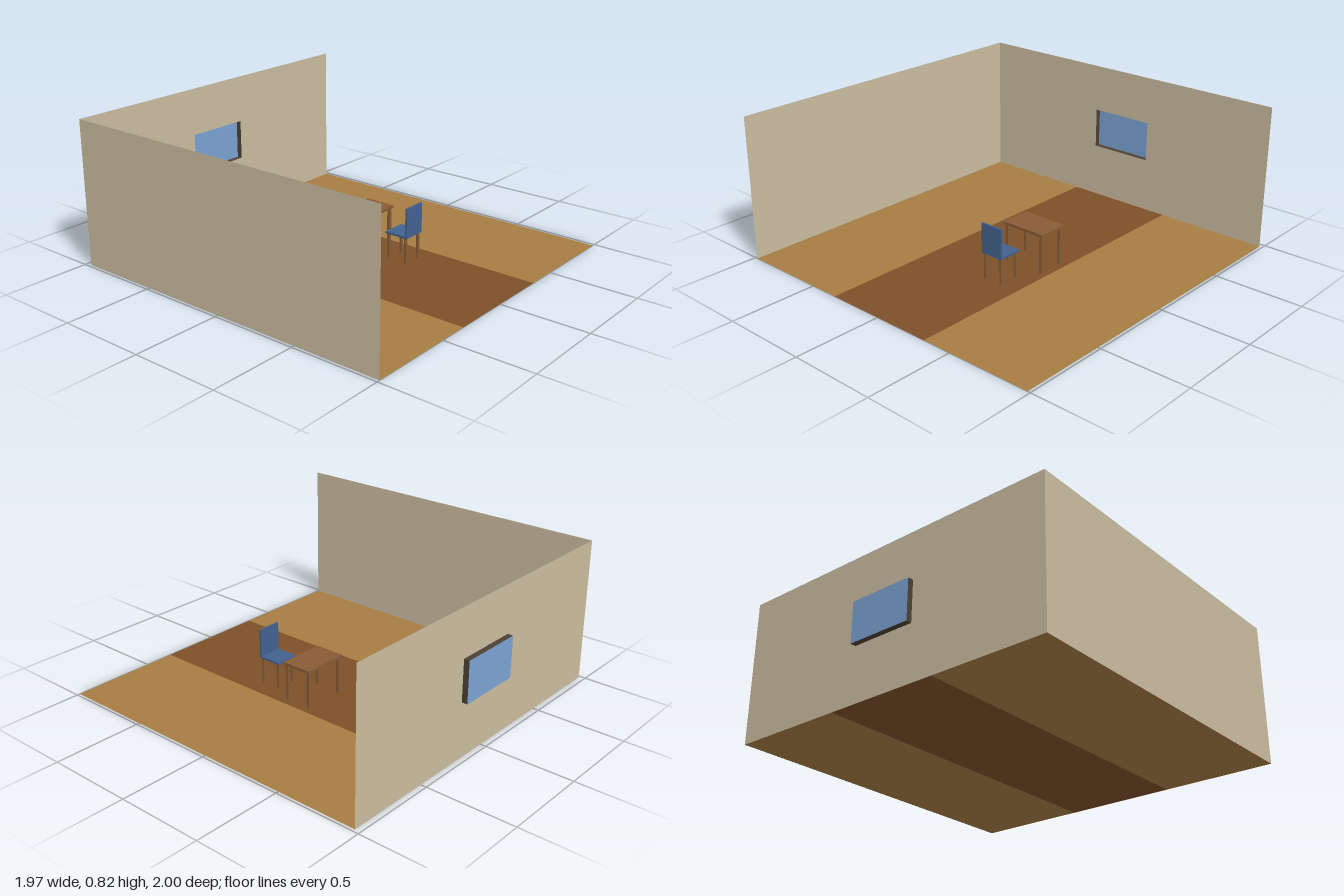
import * as THREE from 'three';

const mat = (color) => new THREE.MeshStandardMaterial({ color, side: THREE.DoubleSide });

const HALF = 0.984, HEIGHT = 0.82, FRONT = 1, BACK = -0.968;
const DEPTH = FRONT - BACK, MID_Z = (FRONT + BACK) / 2;
const WIN = { x: 0.188, y0: 0.314, y1: 0.546, z: -1 };

function add(parent, name, geometry, material, x, y, z) {
  const mesh = new THREE.Mesh(geometry, material);
  mesh.name = name;
  mesh.position.set(x, y, z);
  parent.add(mesh);
  return mesh;
}

// Box given by its minimum and maximum corners
function box(parent, name, material, [x0, y0, z0], [x1, y1, z1]) {
  const geometry = new THREE.BoxGeometry(x1 - x0, y1 - y0, z1 - z0);
  return add(parent, name, geometry, material, (x0 + x1) / 2, (y0 + y1) / 2, (z0 + z1) / 2);
}

// Four square legs placed symmetrically around a centre
function legs(parent, name, material, cx, cz, dx, dz, size, height) {
  const h = size / 2;
  for (const sx of [-1, 1]) for (const sz of [-1, 1]) {
    const x = cx + sx * dx, z = cz + sz * dz;
    box(parent, name, material, [x - h, 0, z - h], [x + h, height, z + h]);
  }
}

function createRoom() {
  const room = new THREE.Group();
  room.name = 'room';
  const floorMat = mat(0xa67c42), runnerMat = mat(0x7d5028), wallMat = mat(0xcabc9f);

  // Floor in three equal strips, the middle one darker
  const strip = (2 * HALF) / 3;
  for (const i of [-1, 0, 1]) {
    const floor = add(room, i ? 'floorStrip' : 'floorRunner', new THREE.PlaneGeometry(strip, DEPTH),
      i ? floorMat : runnerMat, i * strip, 0, MID_Z);
    floor.rotation.x = -Math.PI / 2;
  }

  // Side wall
  const side = add(room, 'sideWall', new THREE.PlaneGeometry(DEPTH, HEIGHT), wallMat, -HALF, HEIGHT / 2, MID_Z);
  side.rotation.y = Math.PI / 2;

  // Back wall with the window opening
  const rect = (path, x, y0, y1) => path.moveTo(-x, y0).lineTo(x, y0).lineTo(x, y1).lineTo(-x, y1).closePath();
  const wall = rect(new THREE.Shape(), HALF, 0, HEIGHT);
  wall.holes.push(rect(new THREE.Path(), WIN.x, WIN.y0, WIN.y1));
  add(room, 'backWall', new THREE.ShapeGeometry(wall), wallMat, 0, 0, BACK);
  return room;
}

function createWindow() {
  const group = new THREE.Group();
  group.name = 'window';
  const frameMat = mat(0x4c4033);
  const w = WIN.x * 2, h = WIN.y1 - WIN.y0, d = BACK - WIN.z;
  const cy = (WIN.y0 + WIN.y1) / 2, cz = (BACK + WIN.z) / 2;

  // Thin reveal around the opening
  for (const s of [-1, 1]) {
    add(group, 'windowJamb', new THREE.PlaneGeometry(d, h), frameMat, s * WIN.x, cy, cz).rotation.y = s * Math.PI / 2;
    add(group, s < 0 ? 'windowSill' : 'windowHead', new THREE.PlaneGeometry(w, d), frameMat, 0, cy + s * h / 2, cz)
      .rotation.x = -s * Math.PI / 2;
  }
  // Pane set at the outer end
  add(group, 'windowPane', new THREE.PlaneGeometry(w, h), mat(0x7aa2d2), 0, cy, WIN.z);
  return group;
}

function createTable() {
  const table = new THREE.Group();
  table.name = 'table';
  const wood = mat(0x875c35);
  box(table, 'tableTop', wood, [0.026, 0.212, -0.075], [0.299, 0.228, 0.105]);
  legs(table, 'tableLeg', wood, 0.1625, 0.015, 0.12, 0.075, 0.017, 0.212);
  return table;
}

function createChair() {
  const chair = new THREE.Group();
  chair.name = 'chair';
  const blue = mat(0x42618f);
  box(chair, 'chairSeat', blue, [0.094, 0.15, 0.208], [0.231, 0.162, 0.349]);
  box(chair, 'chairBack', blue, [0.094, 0.162, 0.338], [0.231, 0.322, 0.349]);
  legs(chair, 'chairLeg', mat(0x875c35), 0.1625, 0.279, 0.055, 0.056, 0.013, 0.15);
  return chair;
}

export function createModel() {
  const model = new THREE.Group();
  model.name = 'roomCorner';
  model.add(createRoom(), createWindow(), createTable(), createChair());
  return model;
}
